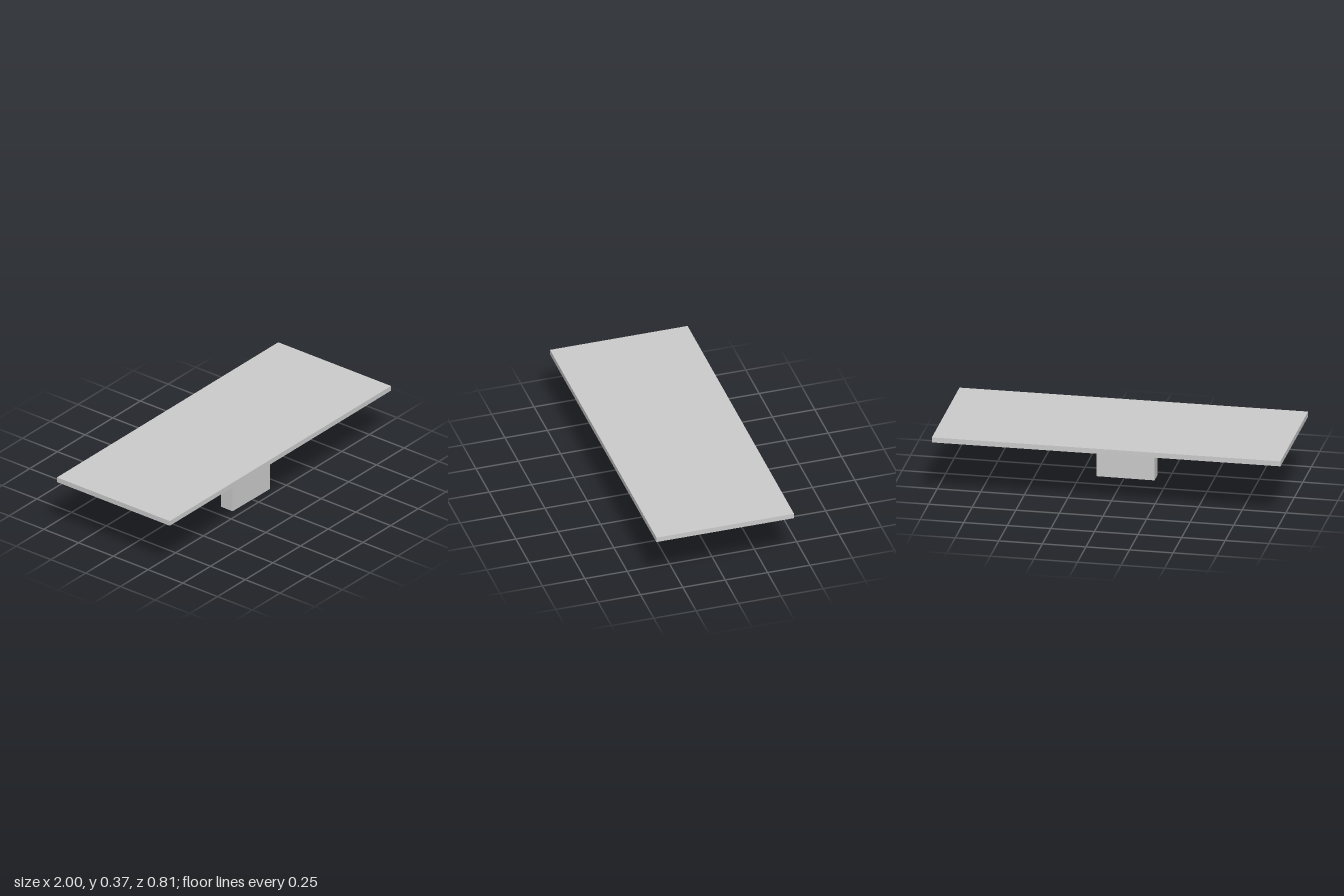
import * as THREE from 'three';

export function createModel() {
  const group = new THREE.Group();
  const material = new THREE.MeshStandardMaterial({ color: 0xcccccc, flatShading: true });

  function addBox(name, size, centre) {
    const mesh = new THREE.Mesh(new THREE.BoxGeometry(...size), material);
    mesh.name = name;
    mesh.position.set(...centre);
    group.add(mesh);
    return mesh;
  }

  // Thin rectangular top
  addBox('tabletop', [2, 0.03, 0.812], [0, 0.352, 0]);

  // Single slab support near the front edge, turned very slightly
  const pedestal = addBox('pedestal', [0.332, 0.337, 0.084], [-0.009, 0.1685, 0.161]);
  pedestal.rotation.y = -0.012;

  return group;
}
